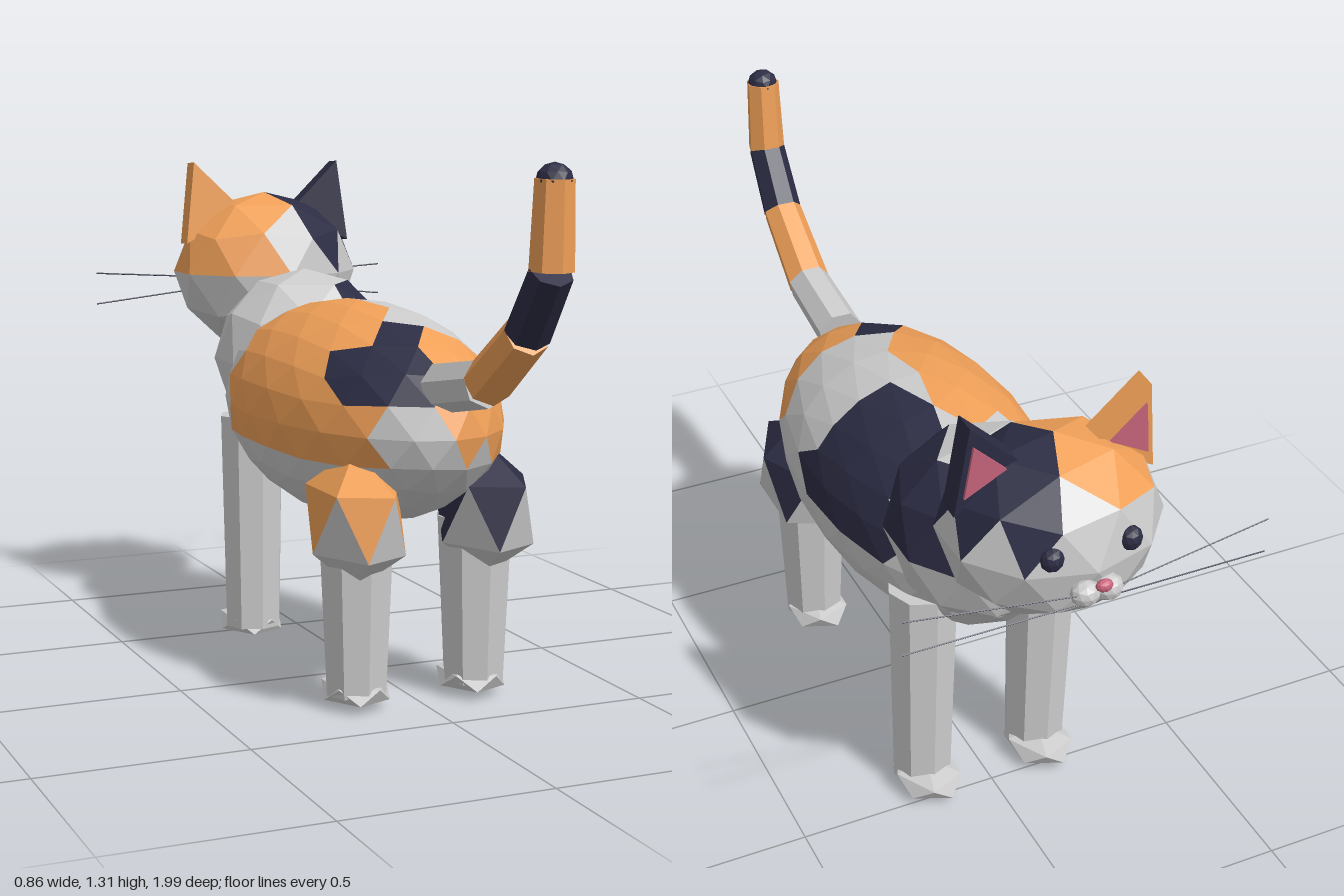
import * as THREE from 'three';

const GREY = 0xcccccc, ORANGE = 0xf0a058, DARK = 0x2c2c44, PINK = 0xc8647c;
const materials = {};
const mat = (c) => (materials[c] ??= new THREE.MeshStandardMaterial({ color: c, flatShading: true }));

function add(parent, name, geometry, color) {
  const mesh = new THREE.Mesh(geometry, mat(color));
  mesh.name = name;
  parent.add(mesh);
  return mesh;
}

// Low-poly ball standing on a vertex; pick(x, y, z) chooses the coat colour of each face
function ball(parent, name, detail, centre, radii, pick) {
  const g = new THREE.IcosahedronGeometry(1, detail);
  g.rotateZ(-Math.atan2(1, (1 + Math.sqrt(5)) / 2));
  g.scale(...radii).translate(...centre);
  const p = g.attributes.position.array;
  const faces = new Map();
  for (let i = 0; i < p.length; i += 9) {
    const mid = [0, 1, 2].map((k) => (p[i + k] + p[i + 3 + k] + p[i + 6 + k]) / 3);
    const c = pick(...mid);
    if (!faces.has(c)) faces.set(c, []);
    faces.get(c).push(...p.subarray(i, i + 9));
  }
  const group = new THREE.Group();
  group.name = name;
  for (const [c, list] of faces) {
    const part = new THREE.BufferGeometry();
    part.setAttribute('position', new THREE.Float32BufferAttribute(list, 3));
    part.computeVertexNormals();
    add(group, name + 'Patch', part, c);
  }
  parent.add(group);
}

// Tapered prism from point a to point b
function rod(parent, name, a, b, ra, rb, sides, color) {
  const from = new THREE.Vector3(...a), to = new THREE.Vector3(...b);
  const dir = to.clone().sub(from);
  const mesh = add(parent, name, new THREE.CylinderGeometry(rb, ra, dir.length(), sides), color);
  mesh.position.copy(from).add(to).multiplyScalar(0.5);
  mesh.quaternion.setFromUnitVectors(new THREE.Vector3(0, 1, 0), dir.normalize());
}

// Triangular slab, centred on z = 0
function slab(points, depth) {
  const shape = new THREE.Shape(points.map(([x, y]) => new THREE.Vector2(x, y)));
  return new THREE.ExtrudeGeometry(shape, { depth, bevelEnabled: false }).translate(0, 0, -depth / 2);
}

// Coat patterns
function bodyCoat(x, y, z) {
  if (x > 0) {
    if (z > 0.22 && y > 0.62) return ORANGE;
    if (z < -0.04 && z > -0.4 && y > 0.69 && x > 0.04) return DARK;
    return GREY;
  }
  if (z > 0.24 && x > -0.2 && y > 0.74) return DARK;
  if (z > -0.28 && y > 0.6 && (z < 0.4 || x < -0.15)) return ORANGE;
  return GREY;
}
const chestCoat = (x, y, z) => (x > 0.06 && y > 0.77 && z > -0.56 ? DARK : GREY);
function headCoat(x, y, z) {
  if (x < -0.02 && y > (z > -0.73 ? 0.98 : 1.04)) return ORANGE;
  return x > 0.03 && y > 1.02 ? DARK : GREY;
}

export function createModel() {
  const cat = new THREE.Group();
  cat.name = 'cat';
  const grey = () => GREY;

  ball(cat, 'body', 3, [0, 0.67, -0.055], [0.297, 0.272, 0.562], bodyCoat);
  ball(cat, 'chest', 1, [0, 0.755, -0.43], [0.24, 0.237, 0.24], chestCoat);
  ball(cat, 'head', 1, [0, 0.965, -0.73], [0.255, 0.217, 0.222], headCoat);

  for (const s of [-1, 1]) {
    const side = s > 0 ? 'Left' : 'Right';
    const coat = s > 0 ? DARK : ORANGE;

    // Legs, thigh and paws
    rod(cat, 'frontLeg' + side, [s * 0.155, 0.04, -0.42], [s * 0.155, 0.61, -0.42], 0.075, 0.086, 8, GREY);
    rod(cat, 'backLeg' + side, [s * 0.155, 0.04, 0.29], [s * 0.155, 0.45, 0.29], 0.076, 0.095, 8, GREY);
    ball(cat, 'thigh' + side, 0, [s * 0.167, 0.465, 0.312], [0.12, 0.168, 0.185],
      (x, y) => (y > 0.465 ? coat : GREY));
    ball(cat, 'frontPaw' + side, 0, [s * 0.153, 0.044, -0.447], [0.09, 0.04, 0.115], grey);
    ball(cat, 'backPaw' + side, 0, [s * 0.153, 0.044, 0.278], [0.09, 0.04, 0.108], grey);

    // Ears, origin at the tip, leaning a little forward
    const ear = new THREE.Group();
    ear.name = 'ear' + side;
    ear.position.set(s * 0.21, 1.265, -0.737);
    ear.rotation.x = -0.06;
    add(ear, 'earShell' + side, slab([[0, 0], [s * 0.027, -0.22], [-s * 0.14, -0.134]], 0.055), coat);
    add(ear, 'innerEar' + side,
      slab([[-s * 0.008, -0.045], [s * 0.008, -0.175], [-s * 0.088, -0.122]], 0.012), PINK).position.z = -0.028;
    cat.add(ear);

    // Face
    ball(cat, 'eye' + side, 1, [s * 0.092, 1.005, -0.917], [0.027, 0.029, 0.024], () => DARK);
    ball(cat, 'muzzle' + side, 1, [s * 0.027, 0.92, -0.948], [0.034, 0.03, 0.03], grey);
    for (const [y0, y1] of [[0.927, 0.955], [0.906, 0.869]]) {
      rod(cat, 'whisker' + side, [s * 0.04, y0, -0.962], [s * 0.43, y1, -0.922], 0.002, 0.002, 4, DARK);
    }
  }
  ball(cat, 'nose', 1, [0, 0.952, -0.978], [0.02, 0.015, 0.014], () => PINK);

  // Tail in four tapered lengths with a dark tip: [y, z, radius]
  const joints = [[0.785, 0.44, 0.06], [0.822, 0.66, 0.057], [0.95, 0.845, 0.052], [1.09, 0.948, 0.049], [1.28, 0.957, 0.043]];
  [GREY, ORANGE, DARK, ORANGE].forEach((color, i) => {
    const [a, b] = [joints[i], joints[i + 1]];
    rod(cat, 'tailSegment', [0, a[0], a[1]], [0, b[0], b[1]], a[2], b[2], 7, color);
  });
  ball(cat, 'tailTip', 1, [0, 1.275, 0.957], [0.04, 0.038, 0.04], () => DARK);

  // Mirrored slabs are wound by the shape helper, so every face points outward
  return cat;
}
